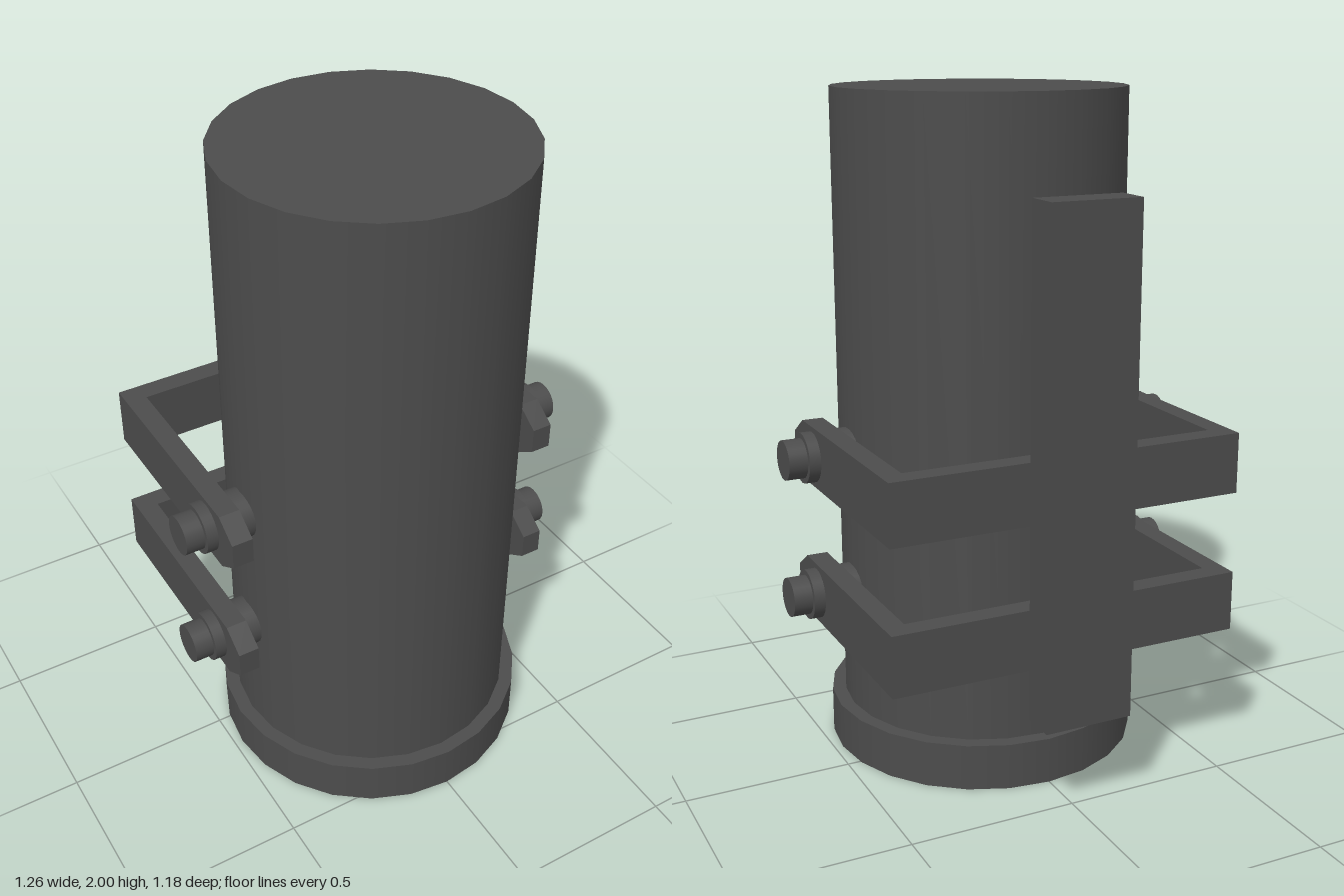
import * as THREE from 'three';

const AXIS_Z = 0.115; // shared axis of the post and the bolts

export function createModel() {
  const model = new THREE.Group();
  const mat = new THREE.MeshStandardMaterial({ color: 0x4c4c4c });

  const add = (parent, name, geometry, x = 0, y = 0, z = 0) => {
    const mesh = new THREE.Mesh(geometry, mat);
    mesh.name = name;
    mesh.position.set(x, y, z);
    parent.add(mesh);
    return mesh;
  };

  // Turned part: one lathe band per profile segment keeps the rims sharp
  const turned = (name, profile) => {
    const group = new THREE.Group();
    group.name = name;
    group.position.z = AXIS_Z;
    const pts = profile.map(([r, y]) => new THREE.Vector2(r, y));
    for (let i = 0; i < pts.length - 1; i++) {
      add(group, name + 'Band', new THREE.LatheGeometry([pts[i], pts[i + 1]], 24));
    }
    model.add(group);
  };

  // Post with a closed top, base collar and blind bore underneath
  turned('post', [[0.433, 0.14], [0.433, 2], [0, 2]]);
  turned('baseCollar', [[0.342, 0], [0.475, 0], [0.475, 0.14], [0.433, 0.14]]);
  turned('bore', [[0, 0.36], [0.342, 0.36], [0.342, 0]]);

  // Upright bar behind the brackets
  add(model, 'backBar', new THREE.BoxGeometry(0.266, 1.455, 0.106), 0, 1.017, -0.537);

  // Side arm outline in (z, y), with chamfered front corners
  const outline = new THREE.Shape([
    [-0.48, -0.09], [0.2, -0.09], [0.275, -0.04],
    [0.275, 0.04], [0.2, 0.09], [-0.48, 0.09],
  ].map(([z, y]) => new THREE.Vector2(-z, y)));
  const armGeometry = new THREE.ExtrudeGeometry(outline, { depth: 0.063, bevelEnabled: false });
  armGeometry.rotateY(Math.PI / 2); // extrusion runs along +x, shape x becomes -z

  // Bolt stages along x: inner spacer, outer washer, bolt end
  const stages = [
    ['spacer', 0.415, 0.477, 0.075],
    ['washer', 0.54, 0.574, 0.075],
    ['boltEnd', 0.574, 0.63, 0.059],
  ];

  for (const [label, y] of [['upper', 0.95], ['lower', 0.525]]) {
    const bracket = new THREE.Group();
    bracket.name = label + 'Bracket';
    bracket.position.y = y;
    add(bracket, 'crossStrap', new THREE.BoxGeometry(0.954, 0.18, 0.065), 0, 0, -0.4475);
    for (const side of [-1, 1]) {
      add(bracket, side > 0 ? 'leftArm' : 'rightArm', armGeometry, side > 0 ? 0.477 : -0.54);
      for (const [name, x0, x1, r] of stages) {
        const geometry = new THREE.CylinderGeometry(r, r, x1 - x0, 24).rotateZ(Math.PI / 2);
        add(bracket, name, geometry, side * (x0 + x1) / 2, 0, AXIS_Z);
      }
    }
    model.add(bracket);
  }

  return model;
}
